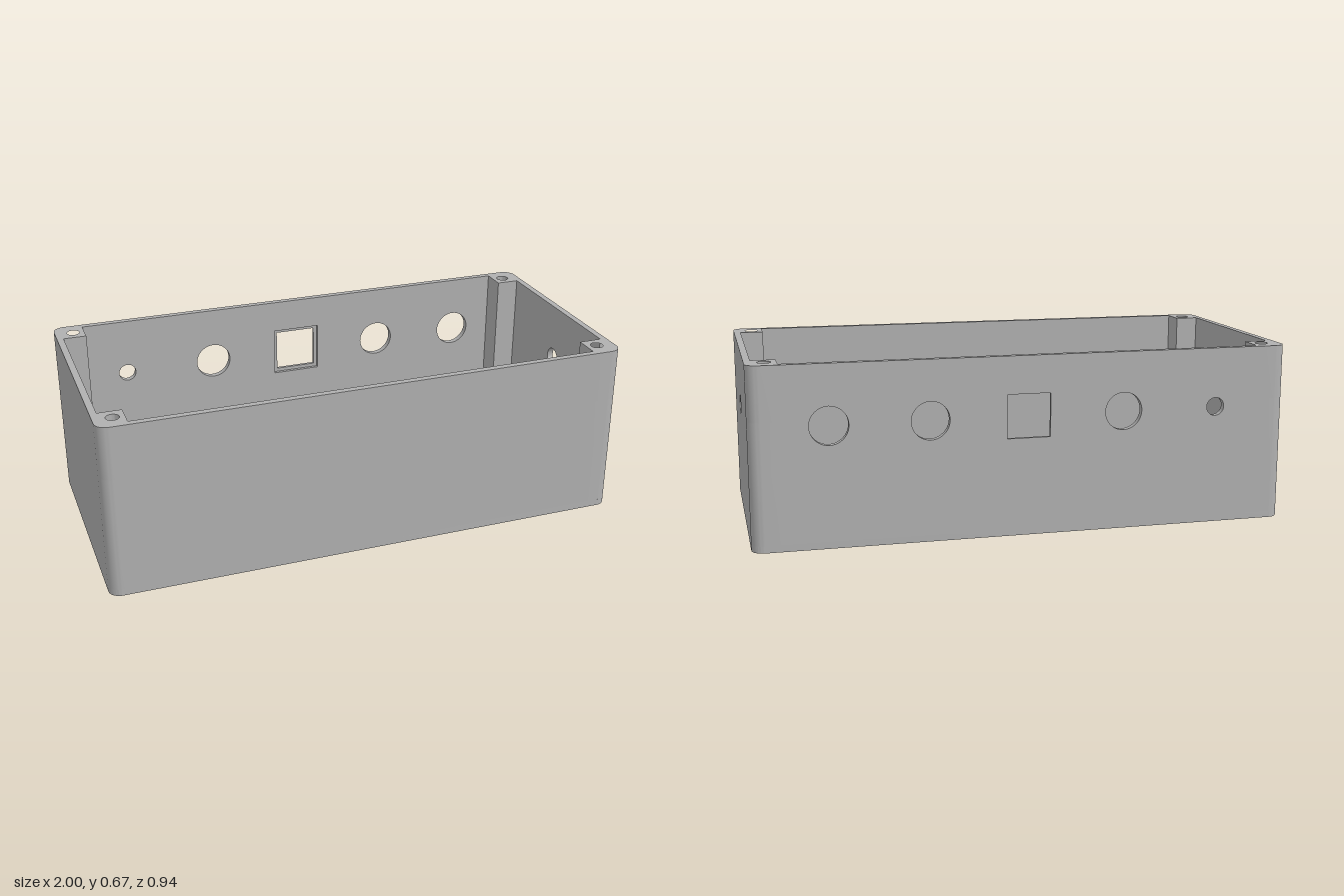
import * as THREE from 'three';
import { toCreasedNormals } from 'three/addons/utils/BufferGeometryUtils.js';

const W = 1, D = 0.4725, H = 0.666;   // half width, half depth, height
const T = 0.025;                      // wall and floor thickness
const R = 0.045;                      // outer corner radius
const PX = 0.887, PZ = 0.35;          // inner faces of the corner posts
const HOLE_Y = 0.445;

export function createModel() {
  const group = new THREE.Group();
  const grey = new THREE.MeshStandardMaterial({ color: 0xb0b0b0 });
  grey.name = 'grey plastic';

  const add = (name, geometry) => {
    const mesh = new THREE.Mesh(geometry, grey);
    mesh.name = name;
    group.add(mesh);
  };
  const extrude = (shape, depth) => toCreasedNormals(
    new THREE.ExtrudeGeometry(shape, { depth, bevelEnabled: false, curveSegments: 20 }), 0.6);
  const upright = (shape, y0, y1) =>
    extrude(shape, y1 - y0).rotateX(-Math.PI / 2).translate(0, y0, 0);

  const rect = (x0, y0, x1, y1, Type = THREE.Shape) => new Type([
    new THREE.Vector2(x0, y0), new THREE.Vector2(x1, y0),
    new THREE.Vector2(x1, y1), new THREE.Vector2(x0, y1)]);
  const circle = (x, y, r) => new THREE.Path().absarc(x, y, r, 0, Math.PI * 2, true);

  // Floor rim: rounded outline with a large rectangular opening
  const rim = new THREE.Shape();
  rim.absarc(W - R, D - R, R, 0, Math.PI / 2);
  rim.absarc(-W + R, D - R, R, Math.PI / 2, Math.PI);
  rim.absarc(-W + R, -D + R, R, Math.PI, Math.PI * 1.5);
  rim.absarc(W - R, -D + R, R, Math.PI * 1.5, Math.PI * 2);
  rim.holes.push(rect(-0.88, -0.435, 0.88, 0.435, THREE.Path));
  add('floorRim', upright(rim, 0, T));

  // Corner posts with a blind screw hole in the top
  const postShape = (sx, sz) => {
    const s = new THREE.Shape();
    s.moveTo(sx * PX, sz * PZ);
    s.lineTo(sx * W, sz * PZ);
    for (let i = 0; i <= 10; i++) {
      const a = i / 10 * Math.PI / 2;
      s.lineTo(sx * (W - R + R * Math.cos(a)), sz * (D - R + R * Math.sin(a)));
    }
    s.lineTo(sx * PX, sz * D);
    return s;
  };
  const screwDepth = 0.2;
  for (const sx of [-1, 1]) for (const sz of [-1, 1]) {
    const name = (sz < 0 ? 'front' : 'back') + (sx > 0 ? 'Left' : 'Right') + 'Post';
    add(name + 'Base', upright(postShape(sx, sz), T, H - screwDepth));
    const top = postShape(sx, sz);
    top.holes.push(circle(sx * 0.93, sz * 0.4, 0.024));
    add(name + 'Top', upright(top, H - screwDepth, H));
  }

  // Plain front wall
  add('frontWall', extrude(rect(-PX, T, PX, H), T).translate(0, 0, D - T));

  // Back wall in two layers, so the square cutout is wider on the inside
  const backLayer = (square) => {
    const s = rect(-PX, T, PX, H);
    for (const [x, r] of [[0.72, 0.07], [0.36, 0.07], [-0.36, 0.07], [-0.72, 0.034]]) {
      s.holes.push(circle(x, HOLE_Y, r));
    }
    s.holes.push(rect(-square, HOLE_Y - square, square, HOLE_Y + square, THREE.Path));
    return extrude(s, T / 2);
  };
  add('backWallOuter', backLayer(0.081).translate(0, 0, -D));
  add('backWallInner', backLayer(0.095).translate(0, 0, -D + T / 2));

  // End walls, one with a round cable hole
  const endWall = (hole) => {
    const s = rect(-PZ, T, PZ, H);
    if (hole) s.holes.push(circle(0, HOLE_Y, 0.041));
    return extrude(s, T).rotateY(Math.PI / 2);
  };
  add('leftWall', endWall(true).translate(W - T, 0, 0));
  add('rightWall', endWall(false).translate(-W, 0, 0));

  return group;
}
